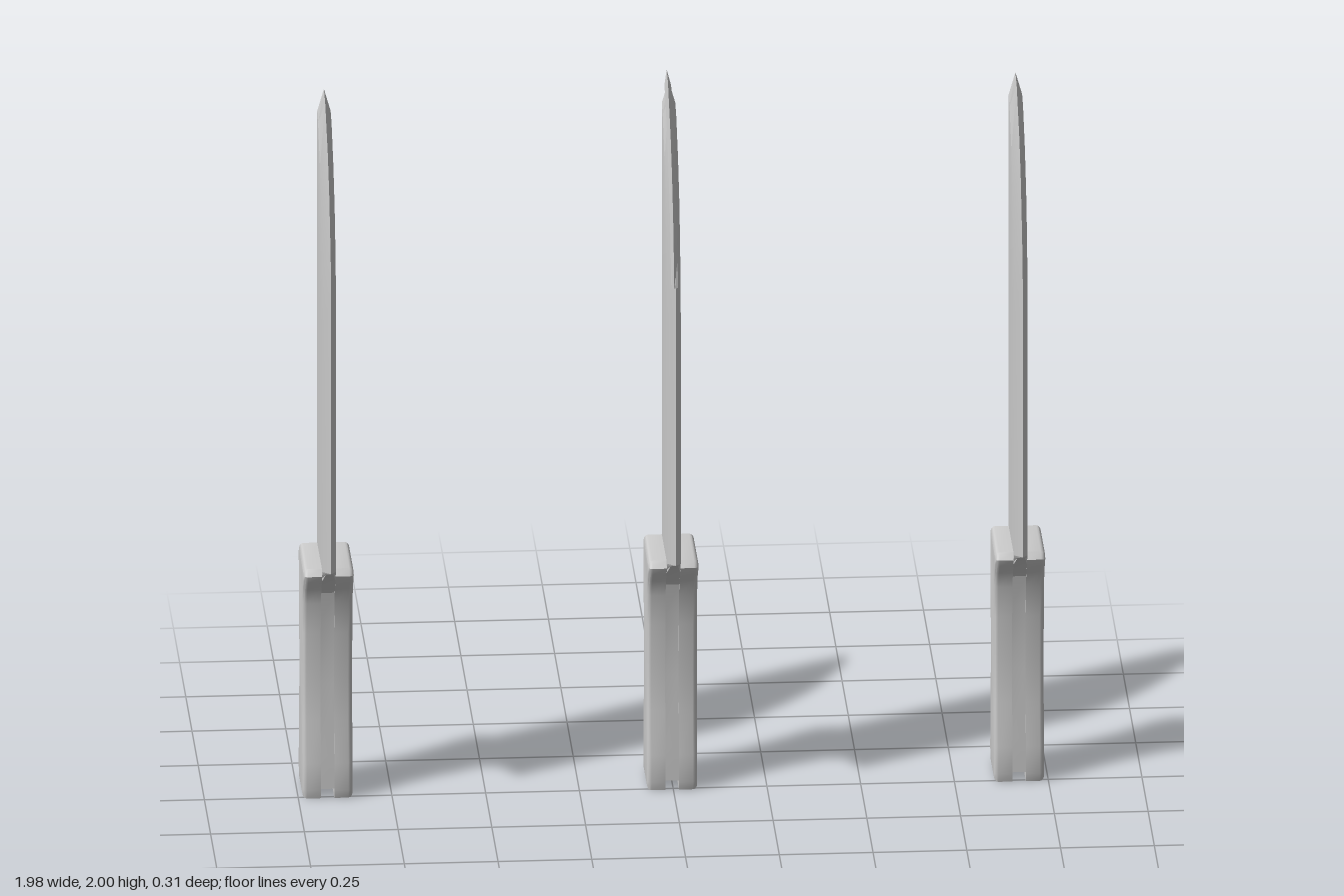
import * as THREE from 'three';
import { toCreasedNormals } from 'three/addons/utils/BufferGeometryUtils.js';

const HALF = 0.018; // half thickness of the steel
const steel = new THREE.MeshStandardMaterial({ color: 0xcccccc, side: THREE.DoubleSide });
const grip = new THREE.MeshStandardMaterial({ color: 0xcccccc });

// Joins equal-sized rings of [x, y, z] into a closed skin with end caps
function loft(rings, crease) {
  const n = rings[0].length;
  const index = [];
  for (let i = 0; i < rings.length - 1; i++) {
    for (let j = 0; j < n; j++) {
      const k = (j + 1) % n;
      const a = i * n + j, b = i * n + k;
      index.push(a, b, b + n, a, b + n, a + n);
    }
  }
  const top = (rings.length - 1) * n;
  for (let j = 1; j < n - 1; j++) {
    index.push(0, j + 1, j, top, top + j, top + j + 1);
  }
  const geo = new THREE.BufferGeometry();
  geo.setAttribute('position', new THREE.Float32BufferAttribute(rings.flat(2), 3));
  geo.setIndex(index);
  return toCreasedNormals(geo, crease);
}

// Tang, heel and blade: edge z, edge y, bevel z, bevel y, spine z, spine y, edge half thickness
const stations = [
  [0.006, 0.025, -0.02, 0.025, -0.142, 0.025, HALF],
  [0.004, 0.12, -0.02, 0.12, -0.146, 0.12, HALF],
  [-0.008, 0.32, -0.03, 0.32, -0.13, 0.32, HALF],
  [0.000, 0.50, -0.02, 0.50, -0.136, 0.50, HALF],
  [0.018, 0.59, 0.00, 0.59, -0.142, 0.59, HALF],
  [0.055, 0.638, 0.03, 0.635, -0.142, 0.63, HALF],
  [0.095, 0.672, 0.065, 0.66, -0.142, 0.65, 0.01],
  [0.155, 0.697, 0.083, 0.675, -0.142, 0.67, 0],
  [0.155, 1.49, 0.080, 1.38, -0.142, 1.40, 0],
  [0.142, 1.56, 0.073, 1.47, -0.142, 1.48, 0],
  [0.116, 1.64, 0.050, 1.59, -0.142, 1.59, 0],
  [0.074, 1.75, 0.020, 1.69, -0.142, 1.69, 0],
  [0.020, 1.84, -0.030, 1.79, -0.142, 1.79, 0],
  [-0.090, 1.95, -0.105, 1.885, -0.142, 1.885, 0],
  [-0.142, 1.968, -0.142, 1.905, -0.142, 1.905, 0],
];

function bladeGeometry() {
  return loft(stations.map(([ez, ey, bz, by, sz, sy, h]) => [
    [h, ey, ez], [HALF, by, bz], [HALF, sy, sz],
    [-HALF, sy, sz], [-HALF, by, bz], [-h, ey, ez],
  ]), 0.3);
}

// Raised sliver along the curved edge: outer z, y and inner z, y
function sliverGeometry() {
  const rows = [
    [0.157, 1.49, 0.152, 1.49],
    [0.147, 1.58, 0.132, 1.56],
    [0.122, 1.675, 0.106, 1.64],
    [0.074, 1.785, 0.062, 1.745],
    [0.020, 1.87, 0.010, 1.83],
    [-0.090, 1.985, -0.09, 1.94],
    [-0.142, 2.0, -0.128, 1.96],
  ];
  return loft(rows.map(([oz, oy, iz, iy]) => [
    [-0.005, oy, oz], [0.006, iy, iz], [-0.012, iy, iz],
  ]), 0.3);
}

// One grip scale, rounded on its outer face and flat against the tang
function scaleGeometry(side) {
  const bevel = 0.012;
  const front = [
    [0.000, 0.012], [0.003, 0.025], [0.002, 0.10], [-0.013, 0.22], [-0.016, 0.34],
    [-0.010, 0.47], [0.000, 0.56], [0.018, 0.61], [0.045, 0.64], [0.050, 0.652], [0.044, 0.66],
  ];
  const back = [
    [-0.135, 0.66], [-0.143, 0.65], [-0.142, 0.60], [-0.126, 0.47], [-0.118, 0.33],
    [-0.126, 0.22], [-0.142, 0.10], [-0.144, 0.04], [-0.138, 0.012],
  ];
  const outline = [...front, ...back].map(([z, y]) => new THREE.Vector2(-side * z, y));
  const geo = new THREE.ExtrudeGeometry(new THREE.Shape(outline), {
    depth: 0.037, bevelSize: bevel, bevelThickness: bevel, bevelSegments: 3, steps: 1,
  });
  const p = geo.attributes.position;
  for (let i = 0; i < p.count; i++) p.setZ(i, Math.max(0, p.getZ(i)));
  geo.translate(0, 0, HALF);
  geo.rotateY(side * Math.PI / 2);
  return toCreasedNormals(geo, 0.7);
}

function addPart(parent, name, geometry, material) {
  const mesh = new THREE.Mesh(geometry, material);
  mesh.name = name;
  parent.add(mesh);
}

export function createModel() {
  const model = new THREE.Group();
  model.name = 'knifeSet';
  const blade = bladeGeometry();
  const leftScale = scaleGeometry(1);
  const rightScale = scaleGeometry(-1);

  // Three knives side by side
  [['rightKnife', -0.922], ['middleKnife', -0.003], ['leftKnife', 0.922]].forEach(([name, x]) => {
    const knife = new THREE.Group();
    knife.name = name;
    knife.position.x = x;
    addPart(knife, 'blade', blade, steel);
    addPart(knife, 'leftGripScale', leftScale, grip);
    addPart(knife, 'rightGripScale', rightScale, grip);
    // Only the middle knife has a loose cutting edge
    if (name === 'middleKnife') addPart(knife, 'edgeSliver', sliverGeometry(), steel);
    model.add(knife);
  });
  return model;
}
